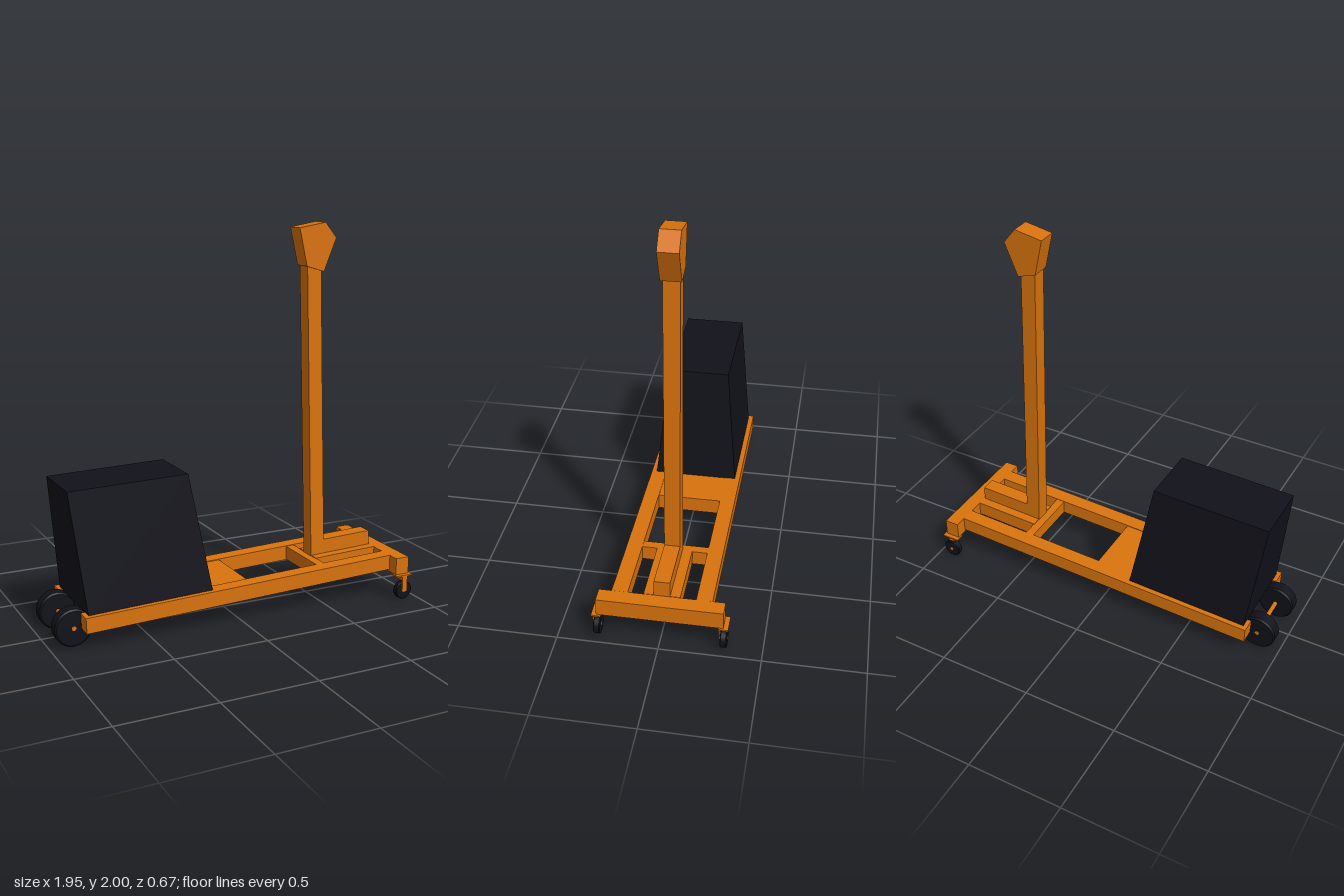
import * as THREE from 'three';

export function createModel() {
  const model = new THREE.Group();
  const orange = new THREE.MeshStandardMaterial({ color: 0xd9730d, flatShading: true });
  const black = new THREE.MeshStandardMaterial({ color: 0x11111a, flatShading: true });
  const rubber = new THREE.MeshStandardMaterial({ color: 0x11111a });

  const add = (parent, name, geometry, material) => {
    const mesh = new THREE.Mesh(geometry, material);
    mesh.name = name;
    parent.add(mesh);
    return mesh;
  };
  // Box given by its limits on each axis
  const bar = (parent, name, [x0, x1], [y0, y1], [z0, z1]) => {
    const g = new THREE.BoxGeometry(x1 - x0, y1 - y0, z1 - z0);
    g.translate((x0 + x1) / 2, (y0 + y1) / 2, (z0 + z1) / 2);
    return add(parent, name, g, orange);
  };
  // Side profile extruded evenly to both sides of z = 0
  const prism = (points, halfWidth) => {
    const shape = new THREE.Shape(points.map(p => new THREE.Vector2(...p)));
    const g = new THREE.ExtrudeGeometry(shape, { depth: halfWidth * 2, bevelEnabled: false });
    return g.translate(0, 0, -halfWidth);
  };
  // Wheel with slightly chamfered rims, axis along z
  const wheel = (parent, name, x, y, z, r, w) => {
    const c = r * 0.08, h = w / 2;
    const profile = [[0, -h], [r - c, -h], [r - c, -h], [r, -h + c], [r, -h + c],
      [r, h - c], [r, h - c], [r - c, h], [r - c, h], [0, h]];
    const g = new THREE.LatheGeometry(profile.map(p => new THREE.Vector2(...p)), 32);
    g.rotateX(Math.PI / 2);
    add(parent, name, g, rubber).position.set(x, y, z);
  };
  const pin = (parent, name, x, y, z, r, length) => {
    const g = new THREE.CylinderGeometry(r, r, length, 12).rotateX(Math.PI / 2);
    add(parent, name, g, orange).position.set(x, y, z);
  };

  // Chassis and mast, pitched slightly upward toward the caster end
  const frame = new THREE.Group();
  frame.name = 'frame';
  frame.rotation.z = 0.032;
  model.add(frame);
  for (const s of [-1, 1]) {
    const span = (a, b) => (s > 0 ? [a, b] : [-b, -a]);
    bar(frame, 'sideRail', [-0.841, 0.885], [0.122, 0.202], span(0.167, 0.247));
    bar(frame, 'mastSupportBar', [0.518, 0.885], [0.124, 0.204], span(0.04, 0.09));
  }
  bar(frame, 'deck', [-0.236, 0.061], [0.116, 0.198], [-0.167, 0.167]);
  bar(frame, 'crossBar', [0.475, 0.522], [0.124, 0.2], [-0.167, 0.167]);
  bar(frame, 'mastBrace', [0.59, 0.882], [0.19, 0.282], [-0.04, 0.04]);
  bar(frame, 'mast', [0.515, 0.595], [0.114, 1.81], [-0.04, 0.04]);

  // Mast head
  add(model, 'mastHead', prism(
    [[0.405, 1.975], [0.45, 1.78], [0.55, 1.75], [0.62, 1.92], [0.555, 2]], 0.05), orange);

  // Counterweight housing, narrowing toward the top
  const housing = prism([[-0.825, 0.174], [-0.165, 0.195], [-0.27, 0.8], [-0.895, 0.785]], 1);
  const pos = housing.attributes.position;
  for (let i = 0; i < pos.count; i++) {
    pos.setZ(i, pos.getZ(i) * (pos.getY(i) > 0.5 ? 0.16 : 0.22));
  }
  housing.computeVertexNormals();
  add(model, 'housing', housing, black);

  // Large wheels on a shared axle
  for (const s of [-1, 1]) wheel(model, 'largeWheel', -0.88, 0.098, s * 0.124, 0.096, 0.07);
  pin(model, 'axle', -0.88, 0.098, 0, 0.012, 0.322);

  // End beam with a caster under each end
  bar(model, 'endBeam', [0.878, 0.956], [0.138, 0.23], [-0.31, 0.31]);
  for (const z of [-0.31, 0.31]) {
    const caster = new THREE.Group();
    caster.name = 'caster';
    caster.position.z = z;
    model.add(caster);
    bar(caster, 'casterPlate', [0.87, 0.966], [0.131, 0.139], [-0.024, 0.024]);
    bar(caster, 'casterLeg', [0.906, 0.936], [0.045, 0.133], [0.016, 0.023]);
    bar(caster, 'casterYoke', [0.906, 0.936], [0.108, 0.133], [-0.016, 0.018]);
    wheel(caster, 'casterWheel', 0.921, 0.051, 0, 0.049, 0.032);
    pin(caster, 'casterPin', 0.921, 0.051, 0, 0.01, 0.038);
  }
  return model;
}
